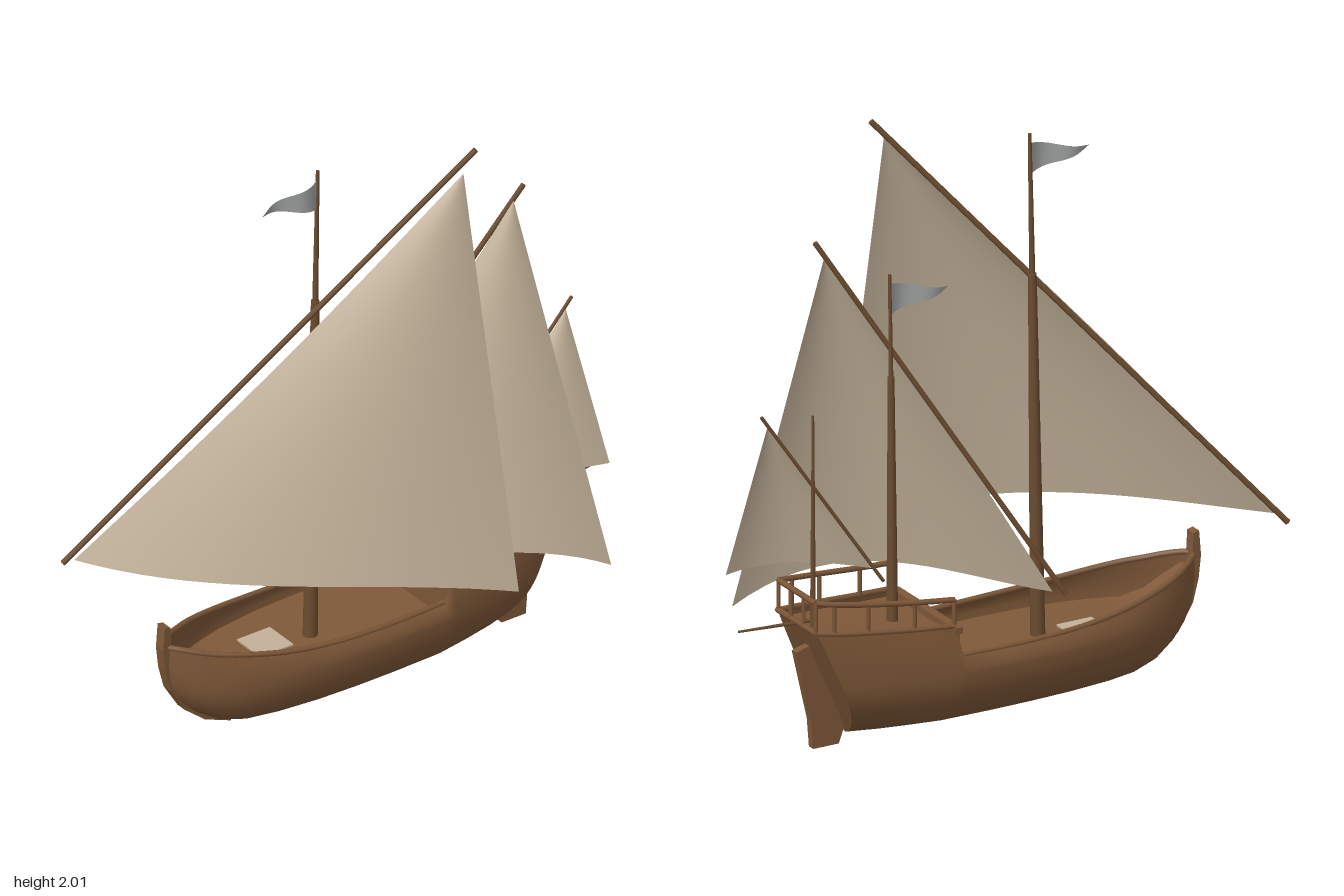
import * as THREE from 'three';

const V = (x, y, z) => new THREE.Vector3(x, y, z);
const CX = -0.092; // centre line of the ship

function material(name, color, side = THREE.FrontSide) {
  const m = new THREE.MeshStandardMaterial({ color, side });
  m.name = name;
  return m;
}

// Surface through rows of points, all rows the same length
function loft(rows) {
  const n = rows[0].length, pos = [], idx = [];
  rows.forEach(r => r.forEach(p => pos.push(p.x, p.y, p.z)));
  for (let i = 0; i < rows.length - 1; i++)
    for (let j = 0; j < n - 1; j++) {
      const a = i * n + j, b = a + n;
      idx.push(a, b, a + 1, b, b + 1, a + 1);
    }
  const g = new THREE.BufferGeometry();
  g.setAttribute('position', new THREE.Float32BufferAttribute(pos, 3));
  g.setIndex(idx);
  g.computeVertexNormals();
  return g;
}

// Tapered round bar between two points
function bar(a, b, ra, rb = ra, sides = 10) {
  const d = b.clone().sub(a);
  const g = new THREE.CylinderGeometry(rb, ra, d.length(), sides);
  g.applyQuaternion(new THREE.Quaternion().setFromUnitVectors(V(0, 1, 0), d.normalize()));
  const c = a.clone().add(b).multiplyScalar(0.5);
  return g.translate(c.x, c.y, c.z);
}

// Plate drawn in (z, y) and given a thickness across x
function plate(points, depth) {
  const s = new THREE.Shape(points.map(p => new THREE.Vector2(p[0], p[1])));
  return new THREE.ExtrudeGeometry(s, { depth, bevelEnabled: false })
    .rotateY(-Math.PI / 2).translate(CX + depth / 2, 0, 0);
}

// Hull stations: z, half beam, keel y, sheer y, stern rake, sharpness
const ST = [
  [0.768, 0.012, 0.28, 0.385, 0, 1], [0.745, 0.04, 0.20, 0.382, 0, 1],
  [0.70, 0.08, 0.145, 0.372, 0, 1], [0.65, 0.113, 0.10, 0.36, 0, 1],
  [0.58, 0.15, 0.055, 0.348, 0, 1], [0.50, 0.178, 0.032, 0.335, 0, 1],
  [0.40, 0.203, 0.025, 0.32, 0, 1], [0.25, 0.222, 0.021, 0.305, 0, 1],
  [0.10, 0.228, 0.019, 0.298, 0, 1], [-0.05, 0.226, 0.018, 0.295, 0, 1],
  [-0.20, 0.219, 0.018, 0.295, 0, 1], [-0.23, 0.217, 0.018, 0.40, 0, 1],
  [-0.32, 0.202, 0.02, 0.41, 0.13, 1.1], [-0.42, 0.18, 0.023, 0.425, 0.28, 1.25],
  [-0.49, 0.158, 0.027, 0.437, 0.38, 1.4], [-0.525, 0.14, 0.03, 0.445, 0.43, 1.5],
];

// Point on the hull skin at a station and height; side is -1 or 1
function skin([z, w, yk, yt, rake, p], y, side, inset = 0) {
  const ym = Math.min(Math.max(0.24, (yk + yt) / 2), yt);
  let x;
  if (y < ym) {
    const q = Math.min((ym - y) / (ym - yk), 1);
    x = w * Math.pow(Math.max(1 - q * q, 0), p / 2);
  } else x = w * (1 - 0.1 * ((y - ym) / (yt - ym)) ** 2);
  return V(CX + side * Math.max(x - inset, 0), y, z - rake * (y - 0.03));
}

function stationRow(s) {
  const [, , yk, yt] = s, ym = Math.max(0.24, (yk + yt) / 2), ys = [];
  for (let k = 0; k <= 10; k++) ys.push(ym - (ym - yk) * Math.cos(k / 10 * Math.PI / 2));
  for (let k = 1; k <= 4; k++) ys.push(ym + (yt - ym) * k / 4);
  return ys;
}

// Triangular sail: tack, clew and head corners, belly depth, lift of the foot
function sail(B, C, A, depth, lift, luff) {
  const N = V(-(C.z - B.z), 0, C.x - B.x).normalize(), rows = [];
  for (let i = 0; i <= 20; i++) {
    const v = i / 20, row = [];
    for (let j = 0; j <= 20; j++) {
      const u = j / 20;
      const p = B.clone().lerp(A, v).lerp(C.clone().lerp(A, v), u);
      const belly = depth * 4 * u * (1 - u) * Math.pow(1 - v, 0.8);
      p.addScaledVector(N, belly + luff * Math.sin(Math.PI * v) * (1 - u));
      p.y += lift * u * u * (1 - u) * (1 - v);
      row.push(p);
    }
    rows.push(row);
  }
  return loft(rows);
}

// Waving pennant flying forward from a mast
function pennant(y, z) {
  const rows = [];
  for (let i = 0; i <= 12; i++) {
    const t = i / 12, h = 0.055 * (1 - t), x = CX + 0.016 * Math.sin(t * 7);
    rows.push([V(x, y + h, z + 0.225 * t), V(x, y - h, z + 0.225 * t)]);
  }
  return loft(rows);
}

export function createModel() {
  const ship = new THREE.Group();
  ship.name = 'sailingShip';
  const hullWood = material('hull wood', 0x7d5737, THREE.DoubleSide);
  const deckWood = material('deck wood', 0x80593a, THREE.DoubleSide);
  const sparWood = material('spar wood', 0x6c4c30);
  const canvas = material('sail canvas', 0xc2b199, THREE.DoubleSide);
  const cloth = material('grey flag cloth', 0xa0a2a2, THREE.DoubleSide);
  const add = (name, geo, mat, parent = ship) => {
    const m = new THREE.Mesh(geo, mat);
    m.name = name;
    parent.add(m);
    return m;
  };

  // Hull shell and transom
  add('hull', loft(ST.map(s => {
    const ys = stationRow(s);
    return [...ys.slice(1).reverse().map(y => skin(s, y, -1)), ...ys.map(y => skin(s, y, 1))];
  })), hullWood);
  const last = ST[ST.length - 1];
  add('transom', loft(stationRow(last).map(y => [skin(last, y, 1), skin(last, y, -1)])), hullWood);

  // Decks
  const strip = (list, yOf) => loft(list.map(s => {
    const y = yOf(s);
    return [skin(s, y, -1, 0.002), skin(s, y, 1, 0.002)];
  }));
  add('mainDeck', strip(ST.slice(1, 12), s => 0.22 + Math.max(0, s[0] - 0.62) * 1.0), deckWood);
  add('quarterDeck', strip(ST.slice(11), s => s[3] - 0.03), deckWood);
  add('bulkhead', new THREE.BoxGeometry(0.40, 0.17, 0.012).translate(CX, 0.302, -0.222), hullWood);
  add('deckBeam', new THREE.BoxGeometry(0.405, 0.022, 0.03).translate(CX, 0.385, -0.222), hullWood);
  add('foldedCloth', new THREE.BoxGeometry(0.13, 0.006, 0.13).translate(-0.13, 0.224, 0.34), canvas);

  // Gunwales and quarterdeck rails, mirrored
  const rails = new THREE.Group();
  rails.name = 'rails';
  ship.add(rails);
  const railPoint = (s, side) => skin(s, s[3], side, 0.008).add(V(0, 0.09 + (s[3] - 0.4) * 0.3, 0));
  for (const side of [-1, 1]) {
    for (const part of [ST.slice(0, 11), ST.slice(11)]) {
      const path = new THREE.CatmullRomCurve3(part.map(s => skin(s, s[3], side, 0.006)));
      add('gunwale', new THREE.TubeGeometry(path, 30, 0.010, 6), hullWood, rails);
    }
    const aft = ST.slice(11);
    const top = new THREE.CatmullRomCurve3(aft.map(s => railPoint(s, side)));
    add('handRail', new THREE.TubeGeometry(top, 20, 0.010, 6), hullWood, rails);
    aft.forEach(s => add('railPost',
      bar(skin(s, s[3], side, 0.008), railPoint(s, side), 0.008, 0.008, 6), hullWood, rails));
  }
  const sl = railPoint(last, -1), sr = railPoint(last, 1);
  add('sternRail', bar(sl, sr, 0.010, 0.010, 6), hullWood, rails);
  add('sternSill', bar(skin(last, last[3], -1), skin(last, last[3], 1), 0.010, 0.010, 6), hullWood, rails);
  for (const t of [0.33, 0.67]) {
    const p = sl.clone().lerp(sr, t);
    add('railPost', bar(V(p.x, last[3], p.z), p, 0.008, 0.008, 6), hullWood, rails);
  }

  // Stem, rudder and stern pole
  add('stem', plate([[0.757, 0.46], [0.778, 0.465], [0.785, 0.38], [0.776, 0.30], [0.755, 0.22],
    [0.70, 0.13], [0.62, 0.065], [0.52, 0.025], [0.50, 0.04], [0.60, 0.09], [0.68, 0.17],
    [0.73, 0.25], [0.75, 0.33]], 0.04), hullWood);
  add('rudder', plate([[-0.557, 0], [-0.652, 0], [-0.66, 0.1], [-0.716, 0.345], [-0.662, 0.36],
    [-0.625, 0.26], [-0.535, 0.06]], 0.028), hullWood);
  add('sternPole', bar(V(CX, 0.44, -0.66), V(CX, 0.455, -0.922), 0.007, 0.004, 8), sparWood);

  // Masts with pennants
  add('mainMast', bar(V(CX, 0.2, 0.19), V(CX, 1.47, 0.17), 0.025, 0.014, 14), sparWood);
  add('mainTopmast', bar(V(CX, 1.45, 0.17), V(CX, 1.955, 0.16), 0.01, 0.006), sparWood);
  add('middleMast', bar(V(CX, 0.36, -0.35), V(CX, 1.22, -0.355), 0.019, 0.011, 14), sparWood);
  add('middleTopmast', bar(V(CX, 1.2, -0.355), V(CX, 1.575, -0.36), 0.008, 0.005), sparWood);
  add('aftMast', bar(V(CX, 0.38, -0.645), V(CX, 1.145, -0.645), 0.01, 0.004), sparWood);
  add('mainPennant', pennant(1.867, 0.162), cloth);
  add('middlePennant', pennant(1.486, -0.36), cloth);

  // Slanted yards
  add('mainYard', bar(V(-0.437, 0.578, 0.917), V(0.16, 2.0, -0.282), 0.010), sparWood);
  add('middleYard', bar(V(-0.313, 0.44, 0.165), V(0.015, 1.69, -0.575), 0.009), sparWood);
  add('aftYard', bar(V(-0.155, 0.55, -0.42), V(-0.043, 1.155, -0.808), 0.006), sparWood);

  // Sails
  add('mainSail', sail(V(-0.403, 0.6, 0.898), V(0.437, 0.485, -0.253), V(0.168, 1.935, -0.228),
    0.14, 0.37, 0.05), canvas);
  add('middleSail', sail(V(-0.288, 0.447, 0.13), V(0.312, 0.358, -0.708), V(0.017, 1.645, -0.535),
    0.13, 0.6, 0.03), canvas);
  add('aftSail', sail(V(-0.135, 0.59, -0.44), V(0.09, 0.575, -0.862), V(-0.04, 1.12, -0.782),
    0.06, 0.08, 0.015), canvas);
  return ship;
}
